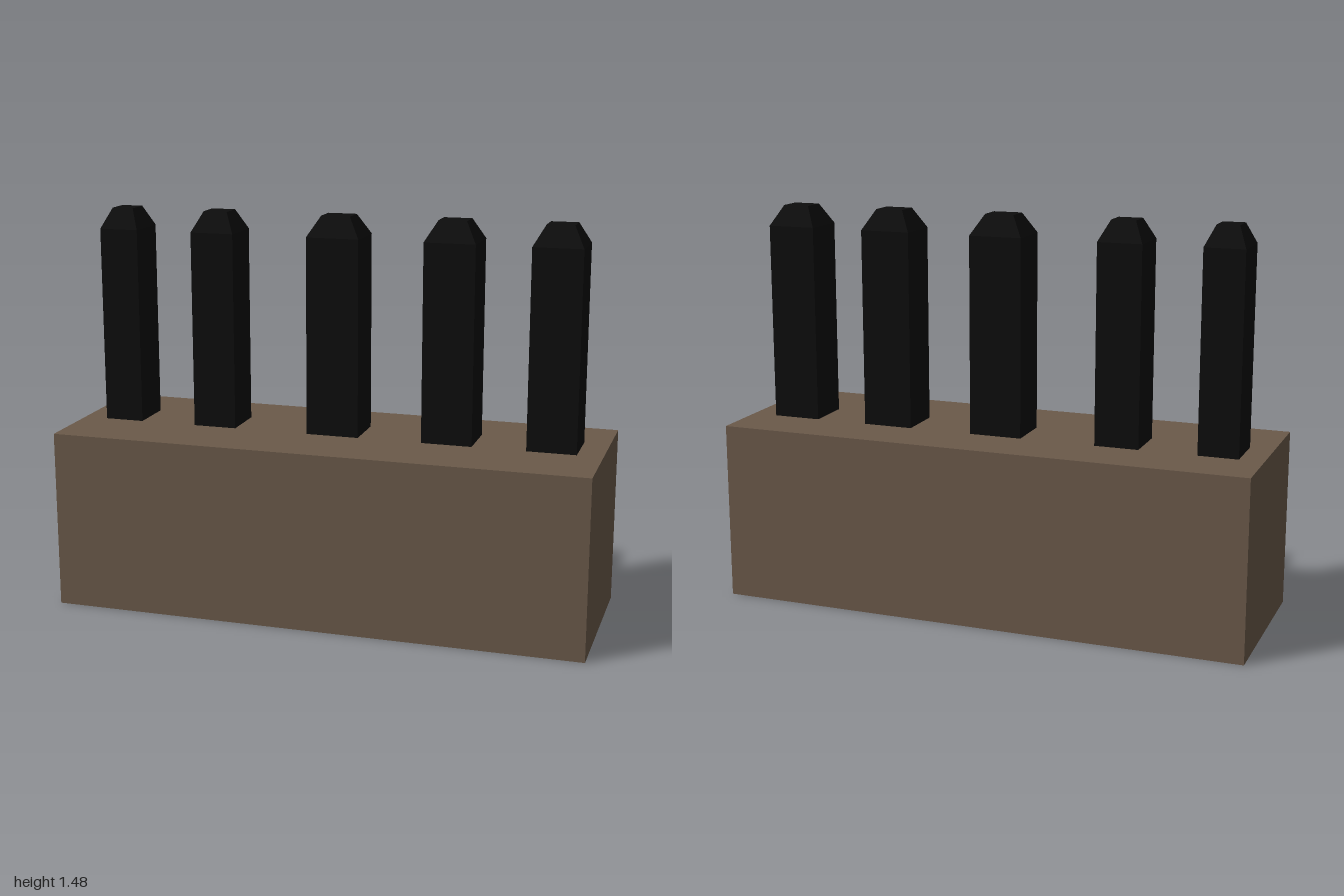
import * as THREE from 'three';

const BASE_TOP = 0.667, SHOULDER = 1.4, TIP = 1.475;

// Square post whose upper ring of vertices is pulled in to a blunt tip
function postGeometry(width, depth) {
  const box = new THREE.BoxGeometry(width, 1, depth, 1, 2, 1);
  const pos = box.attributes.position;
  for (let i = 0; i < pos.count; i++) {
    const y = pos.getY(i);
    if (y > 0.25) {
      pos.setXYZ(i, pos.getX(i) * 0.55, TIP, pos.getZ(i) * 0.5);
    } else {
      pos.setY(i, y < -0.25 ? BASE_TOP : SHOULDER);
    }
  }
  const geometry = box.toNonIndexed();
  geometry.computeVertexNormals();
  return geometry;
}

export function createModel() {
  const group = new THREE.Group();
  group.name = 'spikedBlock';

  const earth = new THREE.MeshStandardMaterial({ color: 0x6b5a4a });
  earth.name = 'earth brown';
  const black = new THREE.MeshStandardMaterial({ color: 0x0d0d0d, flatShading: true });
  black.name = 'post black';

  // Base block
  const base = new THREE.Mesh(new THREE.BoxGeometry(2, BASE_TOP, 0.667), earth);
  base.name = 'base';
  base.position.y = BASE_TOP / 2;
  group.add(base);

  // Row of posts, unevenly spaced: [left edge, right edge]
  const spans = [[-0.91, -0.762], [-0.547, -0.383], [-0.1, 0.097], [0.337, 0.525], [0.724, 0.905]];
  spans.forEach(([x0, x1], i) => {
    const post = new THREE.Mesh(postGeometry(x1 - x0, 0.177), black);
    post.name = `post${i + 1}`;
    post.position.set((x0 + x1) / 2, 0, -0.028);
    group.add(post);
  });

  return group;
}
